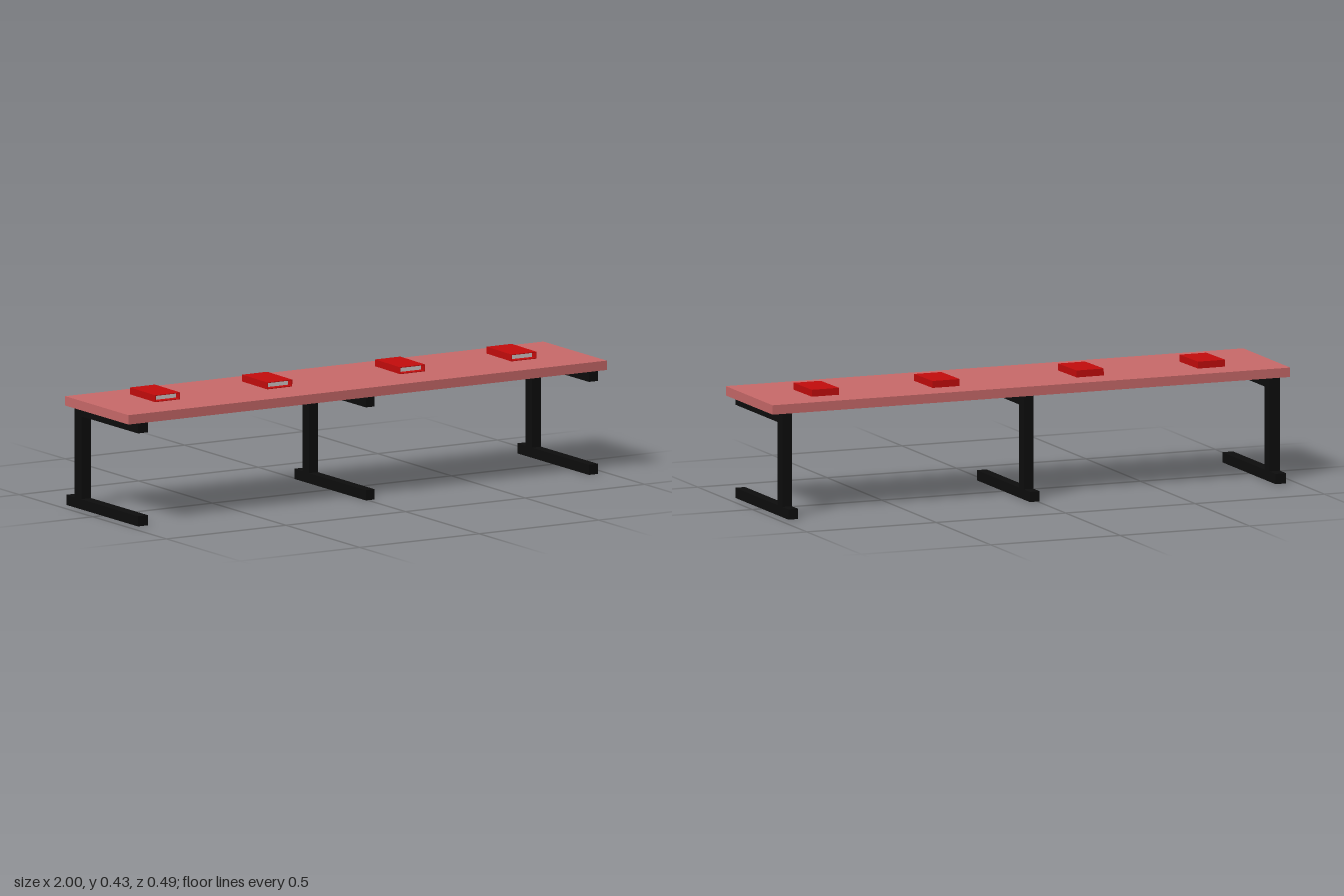
import * as THREE from 'three';

const mat = (name, color) => {
  const m = new THREE.MeshStandardMaterial({ color });
  m.name = name;
  return m;
};

// Box given by its minimum and maximum corners
function box(parent, name, material, [x0, y0, z0], [x1, y1, z1]) {
  const mesh = new THREE.Mesh(new THREE.BoxGeometry(x1 - x0, y1 - y0, z1 - z0), material);
  mesh.position.set((x0 + x1) / 2, (y0 + y1) / 2, (z0 + z1) / 2);
  mesh.name = name;
  parent.add(mesh);
}

export function createModel() {
  const model = new THREE.Group();
  model.name = 'longTable';
  const wood = mat('dusty rose top', 0xc96a6a);
  const metal = mat('black metal', 0x0d0d0d);
  const red = mat('red cover', 0xc40c0c);
  const paper = mat('pale paper', 0xd8cccc);

  // Table top
  box(model, 'tableTop', wood, [-1, 0.373, -0.187], [1, 0.407, 0.243]);

  // C-shaped legs: foot, post at the back and support arm
  for (const [x, width] of [[-0.94, 0.041], [0.011, 0.037], [0.944, 0.037]]) {
    const leg = new THREE.Group();
    leg.name = 'leg';
    leg.position.x = x;
    const w = width / 2;
    box(leg, 'foot', metal, [-w, 0, -0.243], [w, 0.037, 0.243]);
    box(leg, 'post', metal, [-w, 0.037, -0.187], [w, 0.337, -0.142]);
    box(leg, 'supportArm', metal, [-w, 0.337, -0.187], [w, 0.373, 0.243]);
    model.add(leg);
  }

  // Books: a red case open at the front, with the pages set back inside
  const w = 0.0525, h = 0.0125, d = 0.084, t = 0.0025;
  for (const [x, yaw] of [[-0.737, 0.01], [-0.268, 0.01], [0.288, 0], [0.754, 0]]) {
    const book = new THREE.Group();
    book.name = 'book';
    book.position.set(x, 0.4205, -0.004);
    book.rotation.set(0.01, yaw, 0);
    box(book, 'topCover', red, [-w, h - t, -d], [w, h, d]);
    box(book, 'bottomCover', red, [-w, -h, -d], [w, -h + t, d]);
    box(book, 'rightEdge', red, [-w, -h + t, -d], [-w + t, h - t, d]);
    box(book, 'leftEdge', red, [w - t, -h + t, -d], [w, h - t, d]);
    box(book, 'backEdge', red, [-w + t, -h + t, -d], [w - t, h - t, -d + t]);
    box(book, 'pages', paper, [-w + t, -h + t, -d + t], [w - t, h - t, d - 0.025]);
    model.add(book);
  }
  return model;
}
